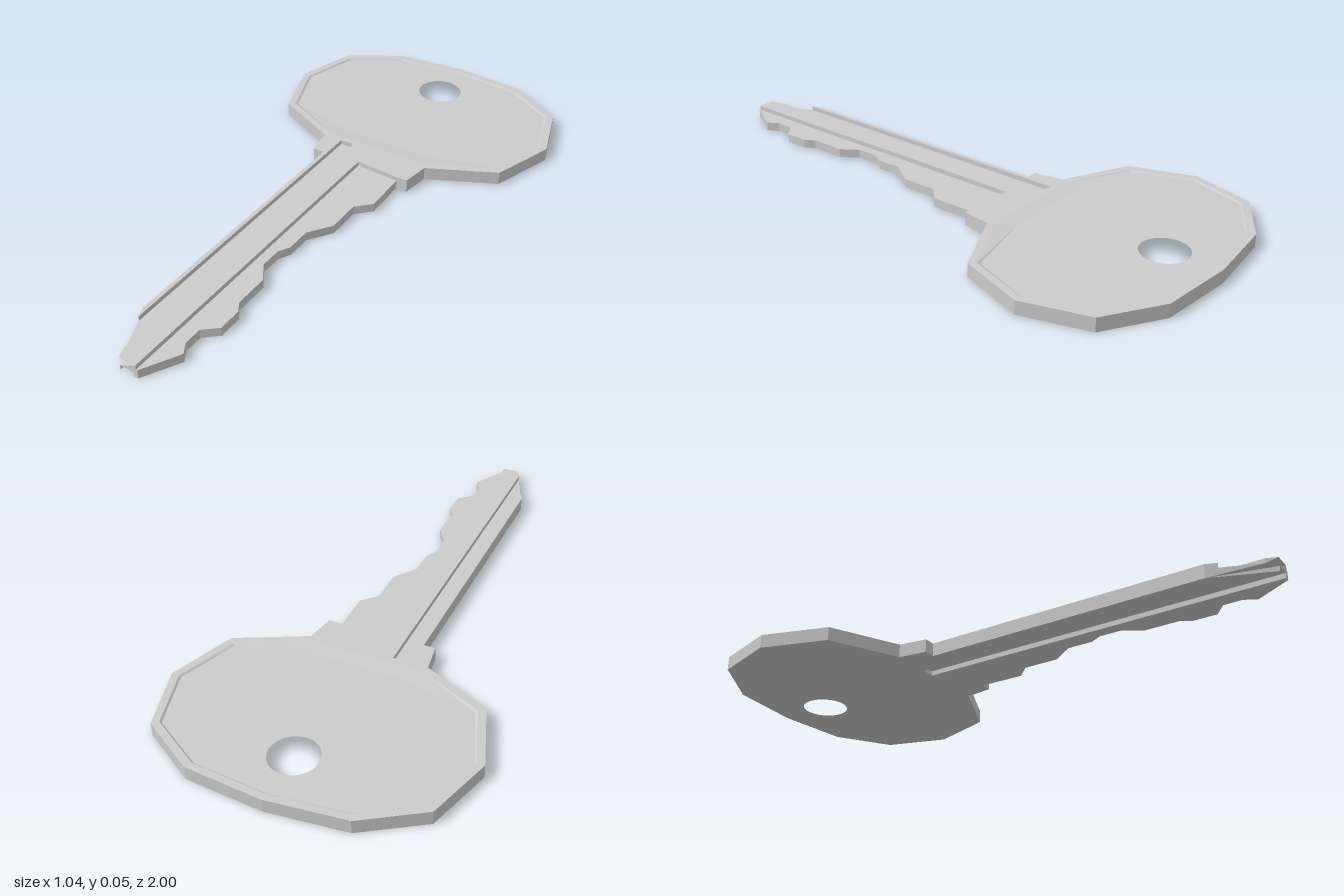
import * as THREE from 'three';

const T = 0.047;      // full thickness
const FLOOR = 0.042;  // recessed face of the bow
const THIN = 0.031;   // thickness of the cut side
const NECK = -0.295;  // z where the bow meets the neck

const material = new THREE.MeshStandardMaterial({ color: 0xcccccc, flatShading: true });

function part(name, geometry) {
  const mesh = new THREE.Mesh(geometry, material);
  mesh.name = name;
  return mesh;
}

// Plan outline in (x, z), raised from the ground to the given height
function plate(points, height, hole) {
  const shape = new THREE.Shape(points.map(([x, z]) => new THREE.Vector2(x, -z)));
  if (hole) shape.holes.push(hole);
  return new THREE.ExtrudeGeometry(shape, { depth: height, bevelEnabled: false, curveSegments: 24 })
    .rotateX(-Math.PI / 2);
}

// Mirror the right half of an outline that starts on the centre line
function mirrored(half) {
  return [...half, ...half.slice(1).reverse().map(([x, z]) => [-x, z])];
}

// Skin between successive loops, each { points, y }
function bands(loops) {
  const pos = [];
  for (let k = 0; k < loops.length - 1; k++) {
    const a = loops[k], b = loops[k + 1], n = a.points.length;
    for (let i = 0; i < n; i++) {
      const j = (i + 1) % n;
      const v = (l, m) => [l.points[m][0], l.y, l.points[m][1]];
      pos.push(...v(a, i), ...v(b, i), ...v(b, j), ...v(a, i), ...v(b, j), ...v(a, j));
    }
  }
  const g = new THREE.BufferGeometry();
  g.setAttribute('position', new THREE.Float32BufferAttribute(pos, 3));
  g.computeVertexNormals();
  return g;
}

export function createModel() {
  const key = new THREE.Group();
  key.name = 'key';

  // Bow: faceted plate with a ring hole
  const outer = mirrored([[0, -1], [0.26, -0.975], [0.45, -0.857], [0.518, -0.635], [0.44, -0.407], [0.205, NECK]]);
  const inner = mirrored([[0, -0.975], [0.25, -0.951], [0.43, -0.84], [0.492, -0.635], [0.42, -0.425], [0.19, -0.315]]);
  const floor = mirrored([[0, -0.97], [0.248, -0.946], [0.425, -0.837], [0.486, -0.635], [0.412, -0.432], [0.15, -0.37]]);
  const hole = new THREE.Path().absarc(0, 0.807, 0.08, 0, Math.PI * 2, true);
  key.add(part('bow', plate(outer, FLOOR, hole)));

  // Raised rim that ramps down to the bow face
  key.add(part('bowRim', bands([
    { points: outer, y: FLOOR }, { points: outer, y: T },
    { points: inner, y: T }, { points: floor, y: FLOOR },
  ])));

  // Shoulders either side of the blade
  key.add(part('leftShoulder', plate([[-0.01, NECK], [0.205, NECK], [0.19, -0.195], [0.15, -0.195], [-0.01, -0.208]], T)));
  key.add(part('rightShoulder', plate([[-0.205, NECK], [-0.15, NECK], [-0.15, -0.195], [-0.19, -0.195]], T)));

  // Spine: grooved section run along z, its end cut back to a taper
  const section = [
    [-0.15, 0], [-0.07, 0], [-0.07, 0.017], [-0.02, 0.017], [-0.02, 0], [-0.01, 0],
    [-0.01, T], [-0.07, T], [-0.085, T], [-0.085, THIN], [-0.135, THIN], [-0.135, T], [-0.15, T],
  ];
  const spine = new THREE.ExtrudeGeometry(
    new THREE.Shape(section.map(([x, y]) => new THREE.Vector2(x, y))),
    { depth: 1 - NECK, bevelEnabled: false },
  ).translate(0, 0, NECK);
  const p = spine.attributes.position;
  for (let i = 0; i < p.count; i++) {
    if (p.getZ(i) > 0.9) p.setZ(i, 1 - 2.5 * Math.max(0, -0.07 - p.getX(i)));
  }
  spine.computeVertexNormals();
  key.add(part('bladeSpine', spine));

  // Thin side of the blade with the cut teeth
  key.add(part('bladeTeeth', plate([
    [-0.01, -0.208], [0.15, -0.195], [0.153, -0.035], [0.103, 0.015], [0.103, 0.14], [0.047, 0.22],
    [0.047, 0.31], [0.025, 0.35], [0.025, 0.43], [0.066, 0.49], [0.066, 0.615], [0.088, 0.65],
    [0.088, 0.735], [0.04, 0.775], [0.04, 0.84], [0.063, 0.88], [-0.005, 1], [-0.01, 1],
  ], THIN)));

  return key;
}
